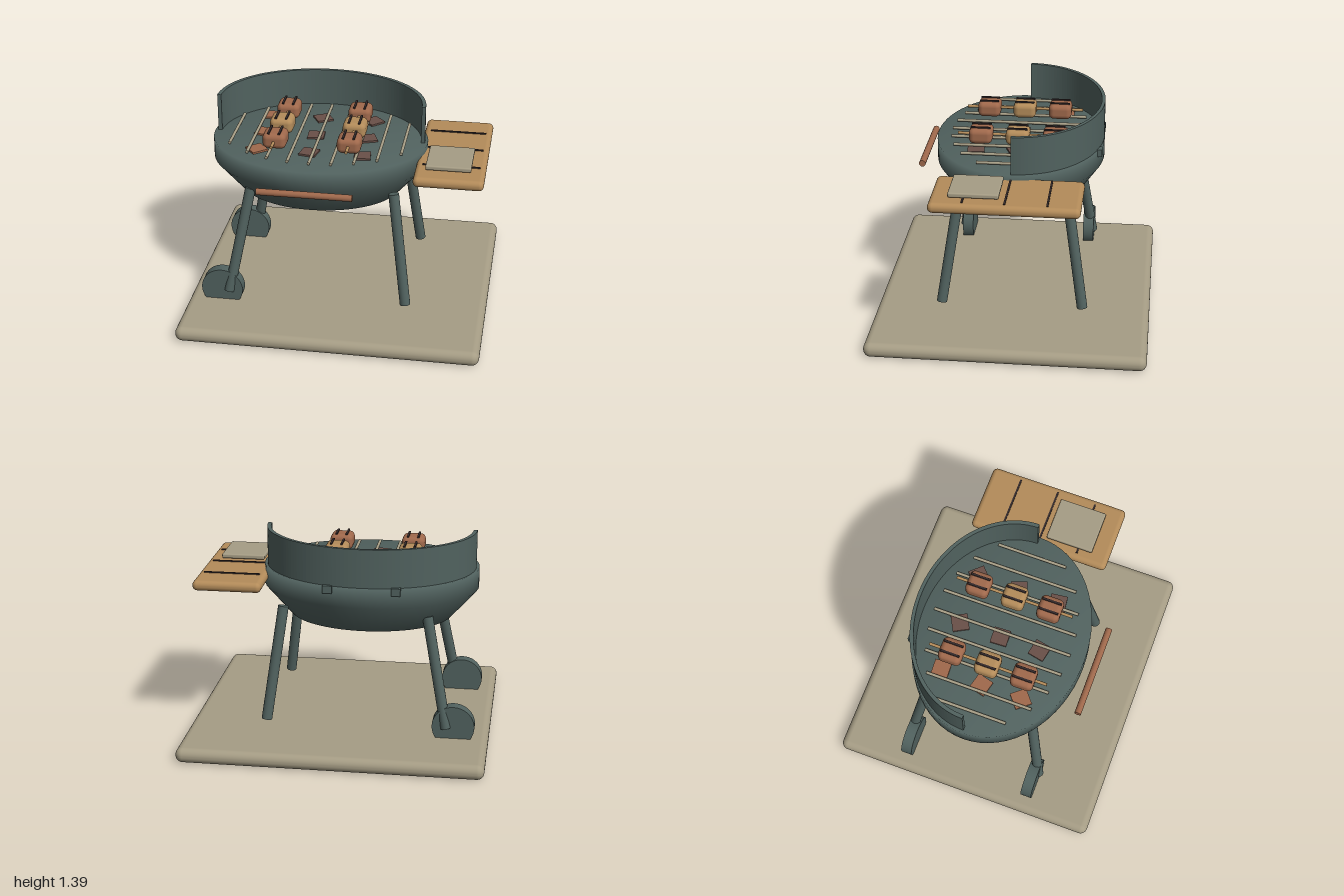
import * as THREE from 'three';
import { RoundedBoxGeometry } from 'three/addons/geometries/RoundedBoxGeometry.js';

const mat = (name, color) => {
  const m = new THREE.MeshStandardMaterial({ color });
  m.name = name;
  return m;
};

export function createModel() {
  const enamel = mat('green enamel', 0x51625f);
  const stone = mat('beige stone', 0xa69d85);
  const wood = mat('light wood', 0xb48c5a);
  const meat = mat('browned meat', 0xa0694c);
  const coalBrown = mat('coal brown', 0x6a5048);
  const char = mat('char', 0x33292a);

  const root = new THREE.Group();
  root.name = 'grill';
  const add = (name, geo, material, x = 0, y = 0, z = 0, parent = root) => {
    const mesh = new THREE.Mesh(geo, material);
    mesh.name = name;
    mesh.position.set(x, y, z);
    parent.add(mesh);
    return mesh;
  };
  const rod = (name, a, b, r, material, parent = root) => {
    const p = new THREE.Vector3(...a), q = new THREE.Vector3(...b);
    const d = q.clone().sub(p), c = p.clone().add(q).multiplyScalar(0.5);
    const mesh = add(name, new THREE.CylinderGeometry(r, r, d.length(), 16), material, c.x, c.y, c.z, parent);
    mesh.quaternion.setFromUnitVectors(new THREE.Vector3(0, 1, 0), d.normalize());
    return mesh;
  };
  const group = (name) => {
    const g = new THREE.Group();
    g.name = name;
    root.add(g);
    return g;
  };
  const CX = -0.17, RX = 0.72, RZ = 0.565;

  // Ground slab
  add('patioSlab', new RoundedBoxGeometry(2, 0.1, 1.83, 4, 0.048), stone, 0, 0.05, 0);

  // Oval bowl with closed top
  const profile = [[0, 0.74], [0.44, 0.74], [0.757, 0.8], [1, 1], [1, 1.135], [0, 1.135]]
    .map(([r, y]) => new THREE.Vector2(r, y));
  const bowlGeo = new THREE.LatheGeometry(profile, 64);
  bowlGeo.scale(RX, 1, RZ);
  add('bowl', bowlGeo, enamel, CX);

  // Curved wind shield around the back half
  const arc = new THREE.Shape();
  arc.absellipse(0, 0, 0.7, 0.563, 0, Math.PI, false);
  arc.absellipse(0, 0, 0.674, 0.54, Math.PI, 0, true);
  arc.closePath();
  const shieldGeo = new THREE.ExtrudeGeometry(arc, { depth: 0.26, bevelEnabled: false, curveSegments: 40 });
  shieldGeo.rotateX(-Math.PI / 2);
  add('windShield', shieldGeo, enamel, CX, 1.13, 0);

  // Small brackets at the back of the shield
  for (const x of [-0.39, 0.05]) {
    add('shieldBracket', new THREE.BoxGeometry(0.06, 0.05, 0.04), enamel, x, 1.115, -0.54);
  }

  // Splayed legs and wheels
  for (const s of [1, -1]) {
    rod('plainLeg', [0.37, 0.925, s * 0.355], [0.472, 0.165, s * 0.47], 0.035, enamel);
    rod('wheelLeg', [-0.58, 0.895, s * 0.355], [-0.722, 0.165, s * 0.47], 0.035, enamel);
    const wheel = add('wheel', new THREE.CylinderGeometry(0.14, 0.14, 0.075, 40), enamel, -0.77, 0.18, s * 0.443);
    wheel.rotation.x = Math.PI / 2;
  }

  // Front handle
  rod('handle', [-0.48, 1.015, 0.635], [0.14, 1.015, 0.635], 0.022, meat);

  // Coals: x, z, turn
  const coals = group('coals');
  [[-0.54, -0.28, 0.05], [-0.2, -0.28, 0.5], [0.15, -0.28, 0.75],
    [-0.55, 0, -0.25], [-0.2, 0, 0.05], [0.15, 0, 0.35],
    [-0.55, 0.27, 0.7], [-0.2, 0.27, -0.2], [0.15, 0.27, 0.12]].forEach(([x, z, turn], i) => {
    add('coal', new THREE.BoxGeometry(0.11, 0.06, 0.11), i % 3 ? coalBrown : meat, x, 1.117, z, coals)
      .rotation.y = turn;
  });

  // Grate bars, shortened toward the oval's ends
  const grate = group('grate');
  for (let i = -4; i <= 4; i++) {
    const x = i * 0.1425, h = 0.47 * Math.sqrt(1 - (x / 0.66) ** 2);
    rod('grateBar', [CX + x, 1.155, -h], [CX + x, 1.155, h], 0.01, stone, grate);
  }

  // Skewers with chunks and char marks
  for (const x of [-0.427, 0.063]) {
    const skewer = group('skewer');
    rod('skewerStick', [x, 1.217, -0.4], [x, 1.217, 0.4], 0.01, wood, skewer);
    for (const z of [-0.245, 0, 0.245]) {
      add('foodChunk', new RoundedBoxGeometry(0.155, 0.105, 0.155, 4, 0.035), z ? meat : wood, x, 1.218, z, skewer);
      for (const dx of [-0.035, 0.035]) {
        add('charMark', new THREE.BoxGeometry(0.014, 0.009, 0.13), char, x + dx, 1.274, z, skewer);
      }
    }
  }

  // Side board with grooves and a plate
  add('sideBoard', new RoundedBoxGeometry(0.455, 0.068, 0.95, 4, 0.032), wood, 0.728, 1.07, 0);
  for (const z of [-0.268, -0.003, 0.262]) {
    add('boardGroove', new THREE.BoxGeometry(0.375, 0.009, 0.012), char, 0.73, 1.107, z);
  }
  add('plate', new RoundedBoxGeometry(0.295, 0.032, 0.32, 3, 0.01), stone, 0.718, 1.128, 0.198);

  return root;
}
